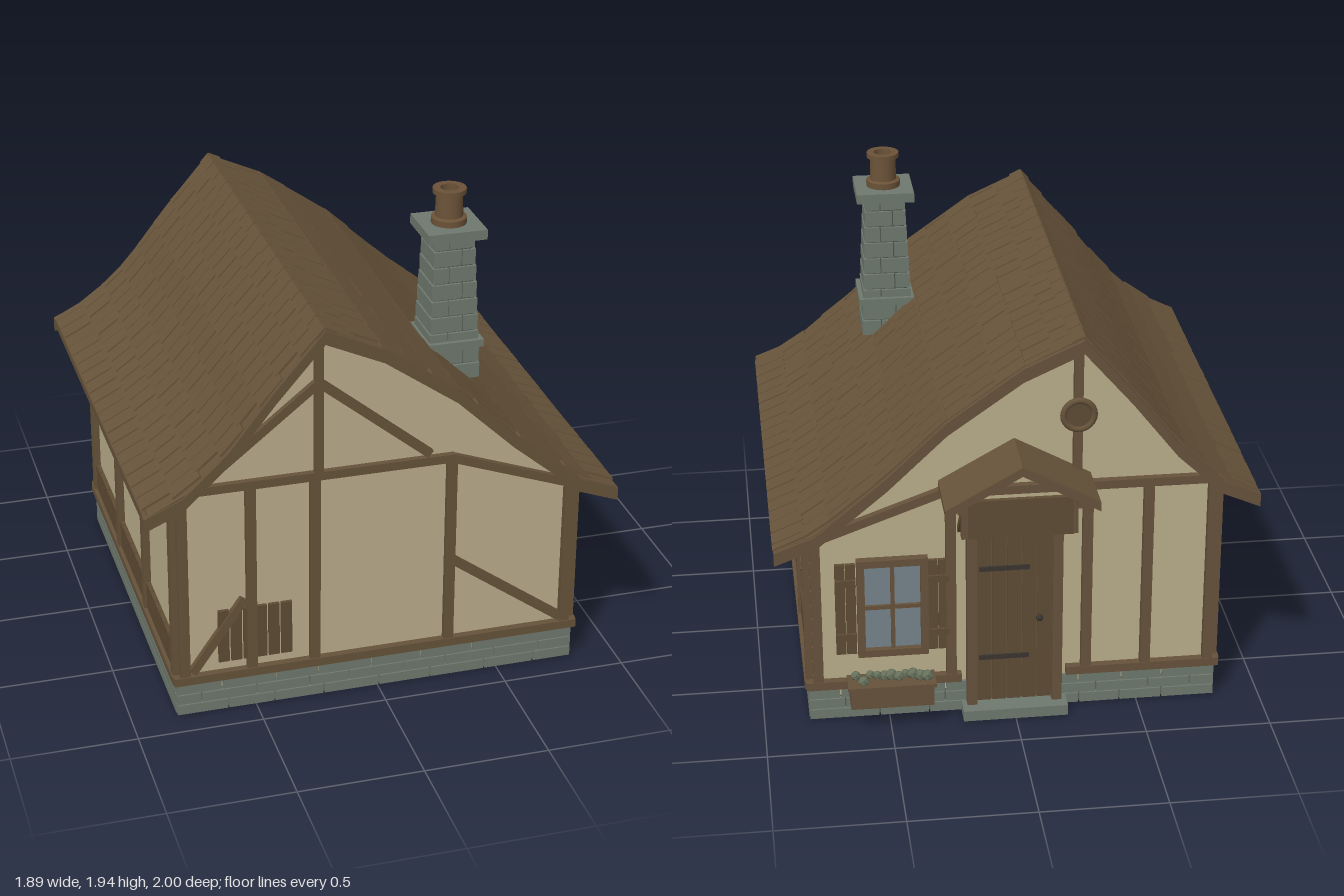
import * as THREE from 'three';
import { mergeGeometries } from 'three/addons/utils/BufferGeometryUtils.js';

const mat = (name, color, side = THREE.FrontSide) => {
  const m = new THREE.MeshStandardMaterial({ color, side });
  m.name = name;
  return m;
};

export function createModel() {
  const M = {
    plaster: mat('plaster', 0xb9ac8a), timber: mat('timber', 0x65523a), shingle: mat('shingle', 0x67533a),
    plank: mat('plank', 0x5e4b34), stone: mat('stone', 0x6e786e), mortar: mat('mortar', 0x555c55),
    pot: mat('clay pot', 0x6b5238, THREE.DoubleSide), glass: mat('glass', 0x76838a),
    iron: mat('iron', 0x3a352e), leaf: mat('leaf', 0x66705a),
  };
  const root = new THREE.Group();
  root.name = 'cottage';
  let seed = 7;
  const rnd = () => (seed = (seed * 16807) % 2147483647) / 2147483647;

  // Helpers: a box geometry, a beam between two points in the xy plane, and mesh creation
  const box = (w, h, d, x, y, z) => new THREE.BoxGeometry(w, h, d).translate(x, y, z);
  const beam = (x1, y1, x2, y2, w, z, d) =>
    new THREE.BoxGeometry(Math.hypot(x2 - x1, y2 - y1), w, d)
      .rotateZ(Math.atan2(y2 - y1, x2 - x1)).translate((x1 + x2) / 2, (y1 + y2) / 2, z);
  const add = (name, geos, material, parent = root) => {
    const mesh = new THREE.Mesh(Array.isArray(geos) ? mergeGeometries(geos) : geos, material);
    mesh.name = name;
    parent.add(mesh);
    return mesh;
  };
  const extrude = (pts, z0, z1) =>
    new THREE.ExtrudeGeometry(new THREE.Shape(pts.map(p => new THREE.Vector2(...p))),
      { depth: z1 - z0, bevelEnabled: false }).translate(0, 0, z0);

  // Roof outline, from the ridge down to each eave
  const right = [[-.25, 1.64], [-.02, 1.535], [.27, 1.33], [.5, 1.11], [.78, .885], [.93, .825]];
  const left = [[-.25, 1.64], [-.44, 1.42], [-.62, 1.19], [-.78, 1.045], [-.93, .97]];
  const outline = [...left.slice(1).reverse(), ...right];
  const band = (pts, top, drop, z0, z1) =>
    extrude([...pts.map(([x, y]) => [x, y - drop]), ...[...pts].reverse().map(([x, y]) => [x, y - top])], z0, z1);

  // Plaster body, filling both gables up to the roof
  add('walls', extrude([[-.8, .1], [.8, .1], [.8, .84], ...right.slice(0, 4).reverse().map(([x, y]) => [x, y - .025]),
    ...left.slice(1, 4).map(([x, y]) => [x, y - .025]), [-.8, 1.0]], -.74, .875), M.plaster);

  // Roof skin, verge boards, eave boards
  const roof = new THREE.Group();
  roof.name = 'roof';
  root.add(roof);
  add('roofDeck', band(outline, 0, .03, -.85, .995), M.shingle, roof);
  const verge = [[-.95, .955], [-.8, 1.02], ...outline.slice(2, -2), [.78, .875], [.94, .815]];
  for (const [z0, z1] of [[-.86, -.835], [.975, 1]]) add('vergeBoard', band(verge, -.005, .05, z0, z1), M.timber, roof);
  add('eaveBoards', [box(.035, .033, 1.85, .922, .803, .07), box(.035, .033, 1.85, -.93, .945, .07)], M.timber, roof);

  // Shingle courses follow each slope
  const tiles = [];
  for (const slope of [left, right]) {
    const path = new THREE.CurvePath();
    for (let i = 1; i < slope.length; i++)
      path.add(new THREE.LineCurve(new THREE.Vector2(...slope[i - 1]), new THREE.Vector2(...slope[i])));
    const rows = Math.round(path.getLength() / .125);
    for (let r = 0; r < rows; r++) {
      const a = path.getPointAt(r / rows), b = path.getPointAt((r + 1) / rows);
      const sign = slope === left ? -1 : 1, n = 20, pitch = 1.83 / n;
      const shift = r % 2 ? pitch / 2 : 0;
      for (let i = 0; i < n; i++) {
        const z0 = Math.max(-.845, -.845 + i * pitch - shift), z1 = -.845 + (i + 1) * pitch - shift;
        const lift = .003 + rnd() * .004;
        tiles.push(beam(a.x, a.y + lift, b.x + .012 * sign, b.y - .008 + lift, .01, (z0 + z1) / 2, z1 - z0 - .008));
      }
    }
  }
  add('shingles', tiles, M.shingle, roof);
  const caps = [];
  for (let i = 0; i < 16; i++) {
    const z = -.79 + i * .1152, d = .108;
    caps.push(beam(-.25, 1.652, -.283, 1.615, .012, z, d), beam(-.252, 1.652, -.205, 1.63, .012, z, d));
  }
  add('ridgeCaps', caps, M.shingle, roof);

  // Stone plinth: three courses of blocks round a mortar core
  add('plinthCore', box(1.6, .14, 1.6, 0, .07, .0675), M.mortar);
  const stones = [];
  const course = (len, row, place) => {
    let s = -len / 2;
    if (row % 2) { stones.push(place(s + .05, .094, row)); s += .1; }
    while (s < len / 2 - .01) {
      let w = .16 + rnd() * .07;
      if (len / 2 - s - w < .1) w = len / 2 - s;
      stones.push(place(s + w / 2, w - .006, row));
      s += w;
    }
  };
  for (let row = 0; row < 3; row++) {
    const y = .0225 + row * .046;
    for (const z of [.872, -.737]) course(1.64, row, (s, w) => box(w, .041, .03, s, y, z));
    for (const x of [-.805, .805]) course(1.6, row, (s, w) => box(.03, .041, w, x, y, s + .0675));
  }
  add('plinthStones', stones, M.stone);

  // Timber frame shared by both gables
  const gable = (z, posts) => [
    beam(-.8, .99, .3, .99, .035, z, .03), beam(.29, .99, .81, .8, .035, z, .03),
    box(.04, .83, .03, -.785, .57, z), box(.04, .66, .03, .78, .48, z),
    box(.035, .62, .03, -.245, 1.3, z),
    ...posts.map(x => box(.04, .82, .03, x, .575, z)),
  ];
  add('frontFrame', [...gable(.885, [-.515, -.26, .29]), box(1.66, .035, .04, 0, .162, .885),
    beam(-.25, 1.38, -.7, 1.02, .035, .885, .026), beam(-.24, 1.38, .2, 1.02, .035, .885, .026),
    beam(-.755, .19, -.545, .49, .035, .885, .026), beam(.3, .535, .76, .2, .035, .885, .026)], M.timber);
  add('backFrame', [...gable(-.755, [-.53, -.29, .25]), box(.62, .035, .035, -.52, .162, -.755),
    box(.62, .035, .035, .52, .162, -.755)], M.timber);

  // Long walls: posts, rails, short braces and plank skirting
  for (const s of [-1, 1]) {
    const top = s > 0 ? .81 : .99, x = s * .815, frame = [], planks = [];
    for (const z of [.853, .33, -.19, -.717]) frame.push(box(.03, top - .15, .04, x, (top + .15) / 2, z));
    frame.push(box(.04, .033, 1.64, x, .162, .068), box(.03, .03, 1.6, x, top - .02, .068));
    for (const z of [.61, -.46])
      frame.push(beam(-z, top - .02, -z + .155, top - .2, .035, 0, .03).rotateY(Math.PI / 2).translate(x, 0, 0));
    for (let i = 0; i < 19; i++) planks.push(box(.018, .122, .075, s * .811, .238, .79 - i * .0805));
    add(s > 0 ? 'leftWallFrame' : 'rightWallFrame', frame, M.timber);
    add('skirtingPlanks', planks, M.plank);
  }

  // Boards leaning on the front wall
  const boards = [];
  for (let i = 0; i < 6; i++) boards.push(box(.043, .23, .014, -.627 + i * .0505, .335, .884));
  add('frontBoards', boards, M.plank);

  // Chimney: tapered courses, collar, cap and clay pot
  const chimney = new THREE.Group();
  chimney.name = 'chimney';
  chimney.position.set(.39, 0, .485);
  root.add(chimney);
  add('chimneyCore', new THREE.CylinderGeometry(.072 * Math.SQRT2, .096 * Math.SQRT2, .6, 4)
    .rotateY(Math.PI / 4).translate(0, 1.47, 0), M.mortar, chimney);
  const bricks = [];
  for (let i = 0; i < 9; i++) {
    const y = 1.2 + i * .0685, h = .106 - i * .003, split = i % 2 ? .35 : -.25;
    for (let k = 0; k < 4; k++) {
      for (const [a, b] of [[-h, h * split], [h * split, h]])
        bricks.push(box(b - a - .005, .062, .025, (a + b) / 2, y, h - .0125).rotateY(k * Math.PI / 2));
    }
  }
  bricks.push(box(.235, .03, .235, 0, 1.32, 0), box(.237, .04, .237, 0, 1.78, 0));
  add('chimneyStones', bricks, M.stone, chimney);
  const profile = [[.07, 1.8], [.07, 1.825], [.055, 1.83], [.052, 1.92], [.066, 1.923], [.066, 1.943], [.036, 1.943], [.036, 1.81], [0, 1.81]];
  add('chimneyPot', new THREE.LatheGeometry(profile.flatMap(p => [new THREE.Vector2(...p), new THREE.Vector2(...p)]), 20), M.pot, chimney);

  // Plank door with frame, hinges, knob and step
  const doorPlanks = [];
  for (let i = 0; i < 5; i++) doorPlanks.push(box(.055, .76, .02, -.12 + i * .06, .43, -.757));
  add('door', doorPlanks, M.plank);
  add('doorBacking', box(.3, .76, .012, 0, .43, -.752), M.timber);
  add('doorFrame', [box(.04, .87, .045, -.17, .435, -.77), box(.04, .87, .045, .17, .435, -.77),
    box(.42, .045, .05, 0, .845, -.77)], M.timber);
  add('doorIron', [box(.2, .02, .008, .04, .25, -.77), box(.2, .02, .008, .04, .65, -.77),
    new THREE.SphereGeometry(.015, 10, 8).translate(-.1, .42, -.775)], M.iron);
  add('doorStep', box(.42, .045, .1, 0, .0225, -.79), M.stone);

  // Small gabled porch with a hanging board and brackets
  const porch = new THREE.Group();
  porch.name = 'porch';
  root.add(porch);
  const pr = [[-.3, 1.035], [0, 1.2], [.295, 1.035]];
  add('porchRoof', band(pr, 0, .025, -.985, -.74), M.shingle, porch);
  add('porchVerge', band(pr, 0, .037, -1, -.98), M.timber, porch);
  const pf = [box(.46, .03, .03, 0, 1.0, -.91)];
  for (const s of [-1, 1]) pf.push(box(.03, .03, .24, s * .23, 1.02, -.86), box(.03, .14, .03, s * .21, .94, -.91),
    beam(.745, .82, .91, 1.0, .025, 0, .025).rotateY(Math.PI / 2).translate(s * .21, 0, 0));
  add('porchFrame', pf, M.timber, porch);
  add('hangingBoard', box(.4, .16, .02, 0, .97, -.955), M.plank, porch);

  // Window with glazing bars and shutters
  add('windowGlass', box(.24, .38, .008, .48, .5, -.745), M.glass);
  const bars = [box(.28, .03, .035, .48, .7, -.757), box(.28, .03, .035, .48, .3, -.757),
    box(.016, .4, .02, .48, .5, -.752), box(.26, .016, .02, .48, .5, -.752)];
  for (const x of [.355, .605]) bars.push(box(.03, .42, .035, x, .5, -.757));
  add('windowFrame', bars, M.timber);
  const shutters = [];
  for (const x of [.3, .665]) {
    for (const d of [-.021, .021]) shutters.push(box(.039, .4, .016, x + d, .5, -.757));
    for (const y of [.38, .62]) shutters.push(box(.082, .03, .012, x, y, -.769));
  }
  add('shutters', shutters, M.plank);

  // Planter box below the window
  add('planterBox', [box(.33, .09, .1, .495, .155, -.825), box(.35, .015, .11, .495, .197, -.82)], M.timber);
  const plants = [];
  for (let i = 0; i < 11; i++)
    plants.push(new THREE.IcosahedronGeometry(.018 + rnd() * .012, 0)
      .translate(.355 + i * .028, .215 + rnd() * .03, -.8 - rnd() * .05));
  add('planterLeaves', plants, M.leaf);

  // Round ornament on the back king post
  add('gableRing', new THREE.TorusGeometry(.06, .013, 8, 24).translate(-.245, 1.3, -.775), M.timber);
  add('gableDisc', new THREE.CylinderGeometry(.055, .055, .02, 24).rotateX(Math.PI / 2).translate(-.245, 1.3, -.768), M.plank);
  return root;
}
